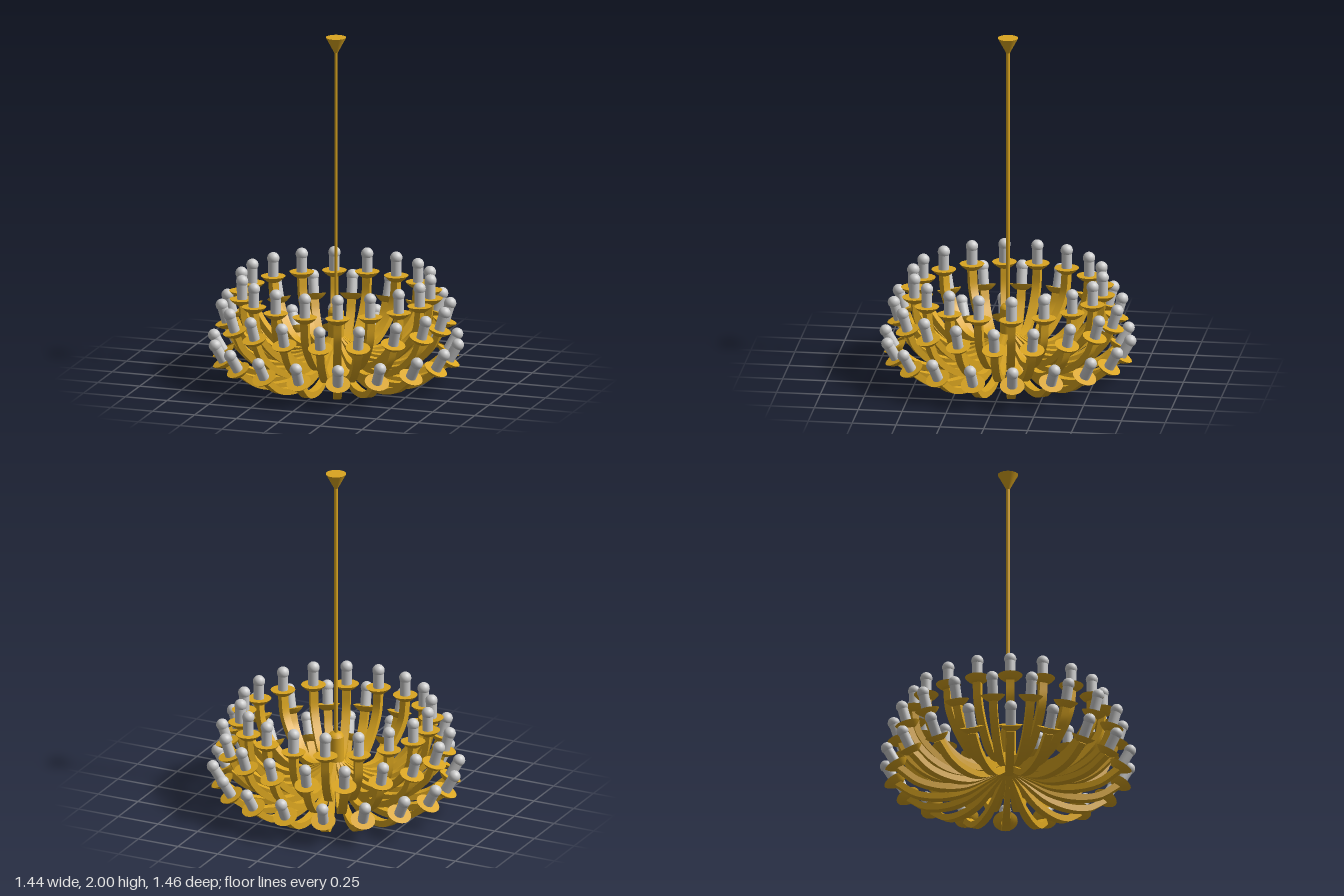
import * as THREE from 'three';

const gold = new THREE.MeshStandardMaterial({ color: 0xdaa520 });
const grey = new THREE.MeshStandardMaterial({ color: 0xcccccc });
const rad = THREE.MathUtils.degToRad;

function addMesh(parent, name, geometry, material, y = 0) {
  const mesh = new THREE.Mesh(geometry, material);
  mesh.name = name;
  mesh.position.y = y;
  parent.add(mesh);
  return mesh;
}

// Bar of rectangular section bent along a curve in the y-z plane, slim at the hub
function armGeometry(points) {
  const curve = new THREE.CatmullRomCurve3(points.map(([r, y]) => new THREE.Vector3(0, y, r)));
  const geo = new THREE.BoxGeometry(1, 1, 1, 1, 1, 28);
  const pos = geo.attributes.position;
  for (let i = 0; i < pos.count; i++) {
    const u = THREE.MathUtils.clamp(pos.getZ(i) + 0.5, 0, 1);
    const p = curve.getPointAt(u);
    const t = curve.getTangentAt(u);
    const width = THREE.MathUtils.lerp(0.014, 0.046, Math.min(1, u / 0.5));
    const depth = pos.getY(i) * 0.036;
    pos.setXYZ(i, pos.getX(i) * width, p.y + t.z * depth, p.z - t.y * depth);
  }
  geo.computeVertexNormals();
  return geo;
}

// Tiers: plate centre (r, y), outward tilt, angular offset and the arm's path
const tiers = [
  { name: 'lower', r: 0.645, y: 0.145, tilt: 30, offset: 0,
    path: [[0.02, 0.17], [0.12, 0.11], [0.25, 0.04], [0.38, 0.02], [0.52, 0.045], [0.63, 0.12]] },
  { name: 'middle', r: 0.615, y: 0.345, tilt: 17, offset: 10.7,
    path: [[0.02, 0.21], [0.12, 0.155], [0.24, 0.1], [0.36, 0.095], [0.48, 0.15], [0.57, 0.24], [0.607, 0.32]] },
  { name: 'upper', r: 0.54, y: 0.5, tilt: 0, offset: 0,
    path: [[0.02, 0.25], [0.11, 0.19], [0.22, 0.145], [0.33, 0.155], [0.44, 0.235], [0.52, 0.35], [0.54, 0.475]] },
];

// Shared parts of each light
const dish = new THREE.LatheGeometry(
  [[0, -0.034], [0.03, -0.034], [0.042, -0.027], [0.058, -0.014], [0.07, 0]].map(([x, y]) => new THREE.Vector2(x, y)), 24);
const dishTop = new THREE.CircleGeometry(0.07, 24).rotateX(-Math.PI / 2);
const candle = new THREE.CylinderGeometry(0.03, 0.03, 0.09, 16);
const bulb = new THREE.SphereGeometry(0.035, 18, 12);

function buildLight() {
  const light = new THREE.Group();
  light.name = 'light';
  addMesh(light, 'dish', dish, gold);
  addMesh(light, 'dishTop', dishTop, gold);
  addMesh(light, 'candle', candle, grey, 0.045);
  addMesh(light, 'bulb', bulb, grey, 0.103);
  return light;
}

export function createModel() {
  const model = new THREE.Group();
  model.name = 'chandelier';

  // Hanging rod, ceiling cone and central hub
  addMesh(model, 'rod', new THREE.CylinderGeometry(0.01, 0.01, 1.55, 12), gold, 1.175);
  addMesh(model, 'ceilingCone', new THREE.CylinderGeometry(0.058, 0.01, 0.09, 32), gold, 1.955);
  const hubProfile = [[0, 0.14], [0.045, 0.14], [0.045, 0.14], [0.045, 0.4], [0.045, 0.4], [0.034, 0.42], [0, 0.425]];
  addMesh(model, 'hub', new THREE.LatheGeometry(hubProfile.map(([x, y]) => new THREE.Vector2(x, y)), 24), gold);

  // Three rings of eighteen arms
  for (const tier of tiers) {
    const ring = new THREE.Group();
    ring.name = tier.name + 'Tier';
    const arm = armGeometry(tier.path);
    for (let i = 0; i < 18; i++) {
      const branch = new THREE.Group();
      branch.name = 'branch';
      addMesh(branch, 'arm', arm, gold);
      const light = buildLight();
      light.position.set(0, tier.y, tier.r);
      light.rotation.x = rad(tier.tilt);
      branch.add(light);
      branch.rotation.y = rad(tier.offset + i * 20);
      ring.add(branch);
    }
    model.add(ring);
  }
  return model;
}
